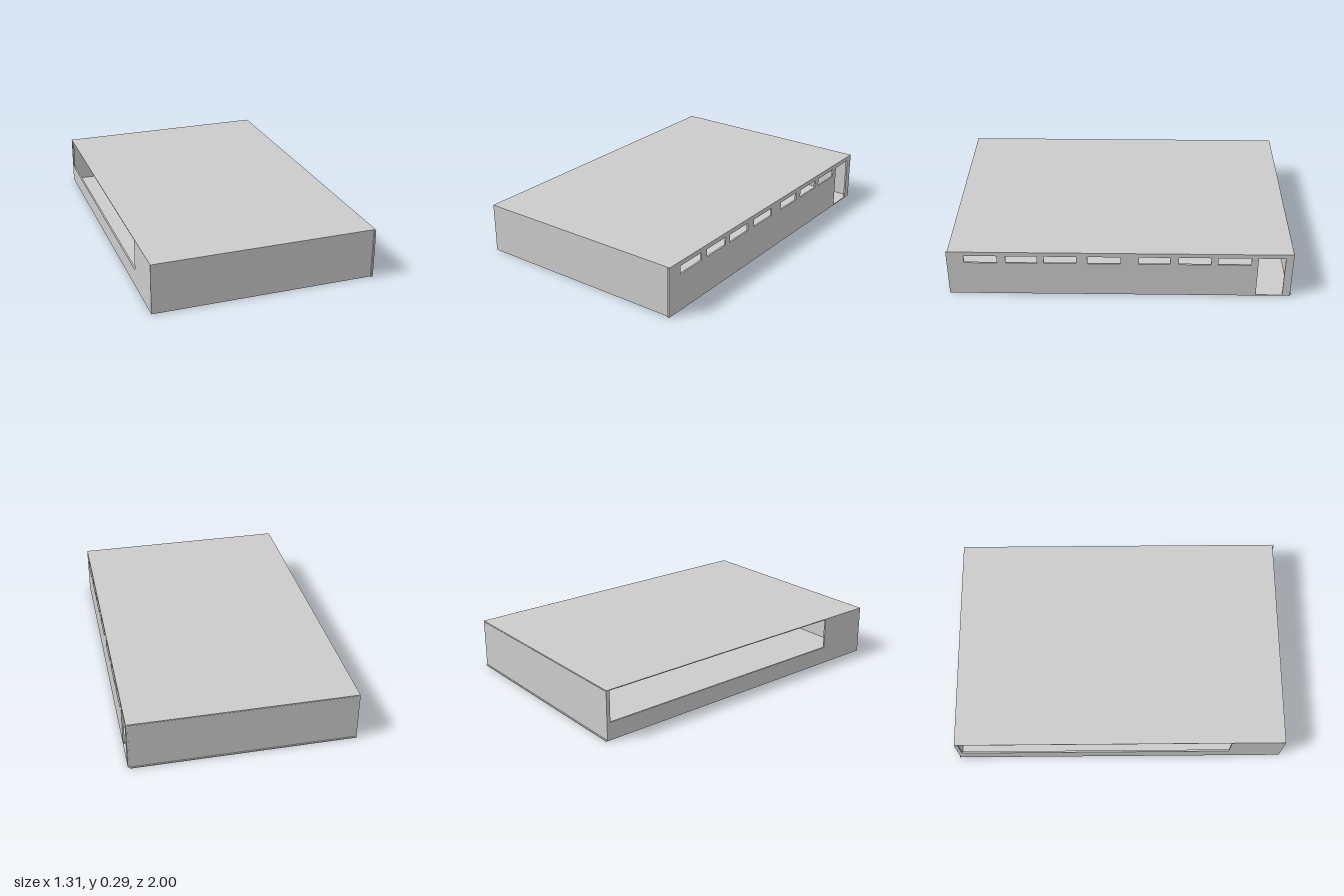
import * as THREE from 'three';

const W = 0.655, H = 0.295, T = 0.01, SKIN = 0.005;

export function createModel() {
  const model = new THREE.Group();
  const material = new THREE.MeshStandardMaterial({ color: 0xcccccc, flatShading: true });

  // Box given by its limits on each axis
  function slab(name, [x0, x1], [y0, y1], [z0, z1]) {
    const mesh = new THREE.Mesh(new THREE.BoxGeometry(x1 - x0, y1 - y0, z1 - z0), material);
    mesh.position.set((x0 + x1) / 2, (y0 + y1) / 2, (z0 + z1) / 2);
    mesh.name = name;
    model.add(mesh);
  }

  // Rectangle in the (z, y) plane, for walls and their openings
  function rect(Type, z0, z1, y0, y1) {
    return new Type([[z0, y0], [z1, y0], [z1, y1], [z0, y1]].map(p => new THREE.Vector2(...p)));
  }

  // Side wall with rectangular openings [z0, z1, y0, y1], outer face at x
  function sideWall(name, x, thickness, z0, z1, openings) {
    const shape = rect(THREE.Shape, z0, z1, 0, H - SKIN);
    shape.holes = openings.map(o => rect(THREE.Path, ...o));
    const geometry = new THREE.ExtrudeGeometry(shape, { depth: thickness, bevelEnabled: false });
    geometry.rotateY(-Math.PI / 2);     // shape x -> z, depth -> -x
    geometry.translate(x, 0, 0);
    const mesh = new THREE.Mesh(geometry, material);
    mesh.name = name;
    model.add(mesh);
  }

  // Floor, roof and end walls
  slab('floor', [-W, W - T], [0, SKIN], [-1, 0.99]);
  slab('roof', [-W, W], [H - SKIN, H], [-0.99, 0.992]);
  slab('frontWall', [-W, W - T], [0, H - SKIN], [0.982, 0.992]);
  slab('backWall', [-W, W - T], [SKIN, H - SKIN], [-0.992, -0.982]);

  // Left wall: a row of high windows and a door near the back
  const windows = [[0.71, 0.9], [0.48, 0.66], [0.255, 0.44], [0, 0.19],
    [-0.285, -0.105], [-0.52, -0.335], [-0.75, -0.56]];
  const openings = windows.map(([z0, z1]) => [z0, z1, 0.22, 0.268]);
  openings.push([-0.945, -0.79, 0.006, 0.268]);
  sideWall('windowWall', W, T, -0.99, 1, openings);

  // Right side: low sill under one long opening, closed at both ends
  slab('sillWall', [-W, -W + T], [SKIN, 0.105], [-0.97, 0.67]);
  slab('frontSidePanel', [-W, -W + T], [SKIN, H - SKIN], [0.67, 0.982]);
  slab('backSidePanel', [-W, -W + T], [SKIN, H - SKIN], [-0.982, -0.97]);

  return model;
}
